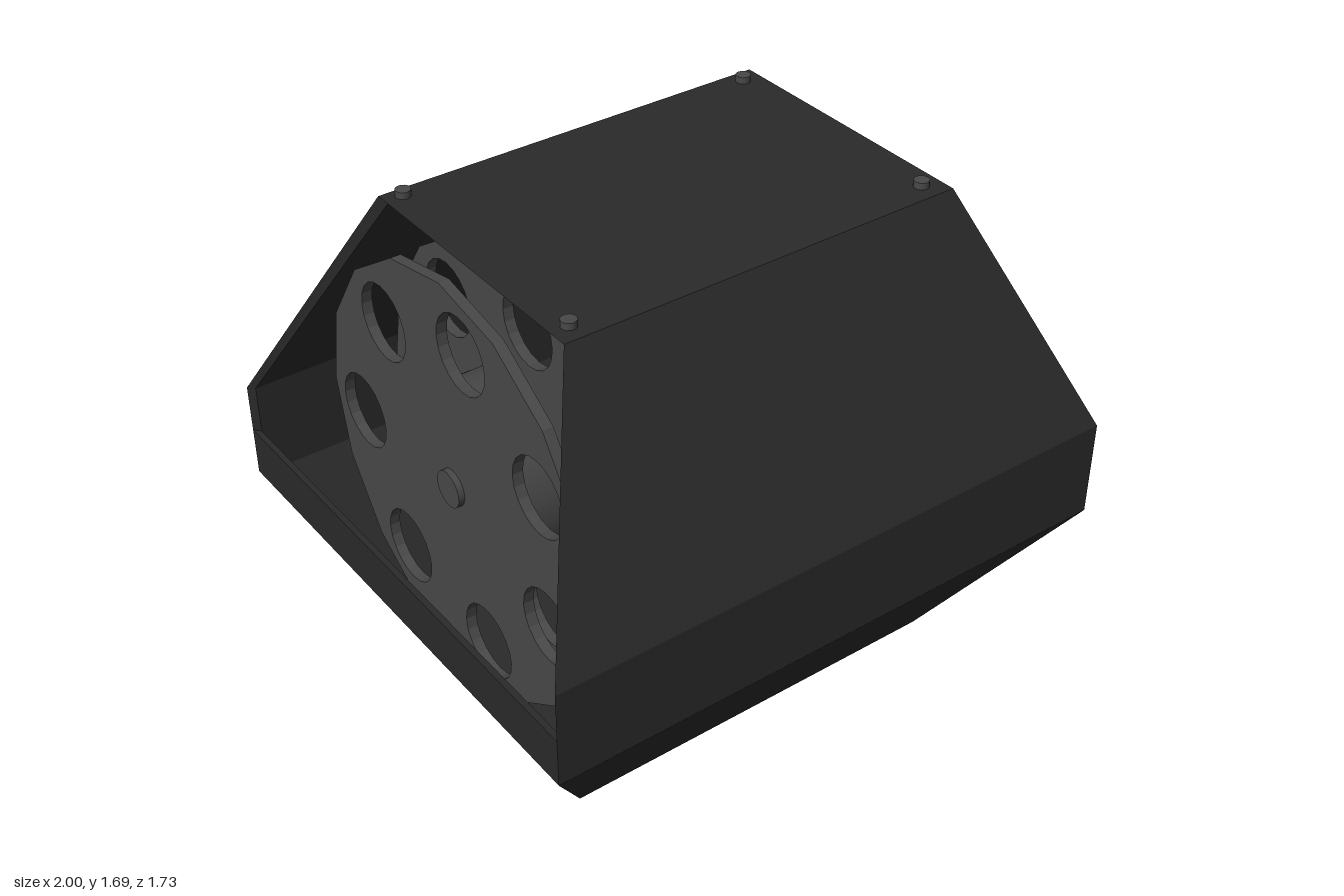
import * as THREE from 'three';
import { mergeVertices } from 'three/addons/utils/BufferGeometryUtils.js';

const SHELL = new THREE.MeshStandardMaterial({ color: 0x2a2a2a, side: THREE.DoubleSide });
const METAL = new THREE.MeshStandardMaterial({ color: 0x484848 });

// Outline of the casing: height, half width, half depth
const LEVELS = [
  [0, 0.68, 0.475],
  [0.58, 1, 0.865],
  [0.745, 1, 0.865],
  [0.91, 1, 0.865],
  [1.67, 0.68, 0.475],
];
const WALL = 0.02;
const CORNERS = [[1, 1], [1, -1], [-1, -1], [-1, 1]];
const OPEN_SIDE = 2; // the side facing -x
const OPEN_FROM = 2; // level where the opening begins
const TOP = LEVELS.length - 1;

// Corner of the outer (inset = 0) or inner skin
function corner(level, c, inset = 0) {
  const [y, hx, hz] = LEVELS[level];
  const [sx, sz] = CORNERS[c % 4];
  const lift = level === 0 ? inset : level === TOP ? -inset : 0;
  return [sx * (hx - inset), y + lift, sz * (hz - inset)];
}

function quadMesh(name, quads, smooth = false) {
  const pos = [];
  for (const [a, b, c, d] of quads) pos.push(...a, ...b, ...c, ...a, ...c, ...d);
  let geo = new THREE.BufferGeometry();
  geo.setAttribute('position', new THREE.Float32BufferAttribute(pos, 3));
  if (smooth) geo = mergeVertices(geo);
  geo.computeVertexNormals();
  const mesh = new THREE.Mesh(geo, SHELL);
  mesh.name = name;
  return mesh;
}

function sideQuads(side, inset) {
  const quads = [];
  for (let l = 0; l < TOP; l++) {
    if (side === OPEN_SIDE && l >= OPEN_FROM) continue;
    const q = [corner(l, side, inset), corner(l, side + 1, inset),
      corner(l + 1, side + 1, inset), corner(l + 1, side, inset)];
    quads.push(inset ? q.reverse() : q);
  }
  return quads;
}

function createCasing() {
  const casing = new THREE.Group();
  casing.name = 'casing';
  ['leftPanel', 'backPanel', 'rightPanel', 'frontPanel'].forEach((name, side) => {
    casing.add(quadMesh(name, sideQuads(side, 0), side === 0));
  });
  const ring = (level, inset) => [0, 1, 2, 3].map((c) => corner(level, c, inset));
  casing.add(quadMesh('topPanel', [ring(TOP, 0)]));
  casing.add(quadMesh('bottomPanel', [ring(0, 0).reverse()]));

  // Inner skin
  const inner = [0, 1, 2, 3].flatMap((s) => sideQuads(s, WALL));
  inner.push(ring(TOP, WALL).reverse(), ring(0, WALL));
  casing.add(quadMesh('innerLining', inner));

  // Wall thickness around the opening
  const loop = [];
  for (let l = OPEN_FROM; l <= TOP; l++) loop.push([l, OPEN_SIDE + 1]);
  for (let l = TOP; l >= OPEN_FROM; l--) loop.push([l, OPEN_SIDE]);
  const rim = loop.map(([l, c], i) => {
    const [l2, c2] = loop[(i + 1) % loop.length];
    return [corner(l, c), corner(l2, c2), corner(l2, c2, WALL), corner(l, c, WALL)];
  });
  casing.add(quadMesh('openingRim', rim));
  return casing;
}

function circlePoints(cx, cy, r, n) {
  return Array.from({ length: n }, (_, i) => {
    const a = (i / n) * Math.PI * 2 + Math.PI / 2;
    return new THREE.Vector2(cx + r * Math.cos(a), cy + r * Math.sin(a));
  });
}

// Disc with a ring of seven round holes, lying across the x axis
function createFlange(name, x) {
  const shape = new THREE.Shape(circlePoints(0, 0, 0.7, 16));
  for (let i = 0; i < 7; i++) {
    const a = THREE.MathUtils.degToRad(80) + (i / 7) * Math.PI * 2;
    shape.holes.push(new THREE.Path(
      circlePoints(0.52 * Math.cos(a), 0.52 * Math.sin(a), 0.125, 20)));
  }
  const geo = new THREE.ExtrudeGeometry(shape, { depth: 0.035, bevelEnabled: false });
  geo.rotateY(-Math.PI / 2);
  const mesh = new THREE.Mesh(geo, METAL);
  mesh.name = name;
  mesh.position.x = x;
  return mesh;
}

function cylinderX(name, r, x0, x1) {
  const geo = new THREE.CylinderGeometry(r, r, x1 - x0, 24);
  geo.rotateZ(Math.PI / 2);
  const mesh = new THREE.Mesh(geo, METAL);
  mesh.name = name;
  mesh.position.x = (x0 + x1) / 2;
  return mesh;
}

function createReel() {
  const reel = new THREE.Group();
  reel.name = 'reel';
  reel.position.y = 0.95;
  reel.add(
    createFlange('outerFlange', -0.735),
    createFlange('innerFlange', -0.515),
    cylinderX('reelCore', 0.3, -0.74, -0.545),
    cylinderX('axle', 0.06, -0.79, -0.45),
  );
  return reel;
}

export function createModel() {
  const model = new THREE.Group();
  model.name = 'reelCasing';
  model.add(createCasing(), createReel());

  // Bolts at the corners of the top panel
  const boltGeo = new THREE.CylinderGeometry(0.024, 0.024, 0.04, 16);
  for (const [x, z] of [[-0.62, -0.435], [0.615, -0.425], [-0.62, 0.41], [0.615, 0.41]]) {
    const bolt = new THREE.Mesh(boltGeo, METAL);
    bolt.name = 'bolt';
    bolt.position.set(x, 1.672, z);
    model.add(bolt);
  }
  return model;
}
